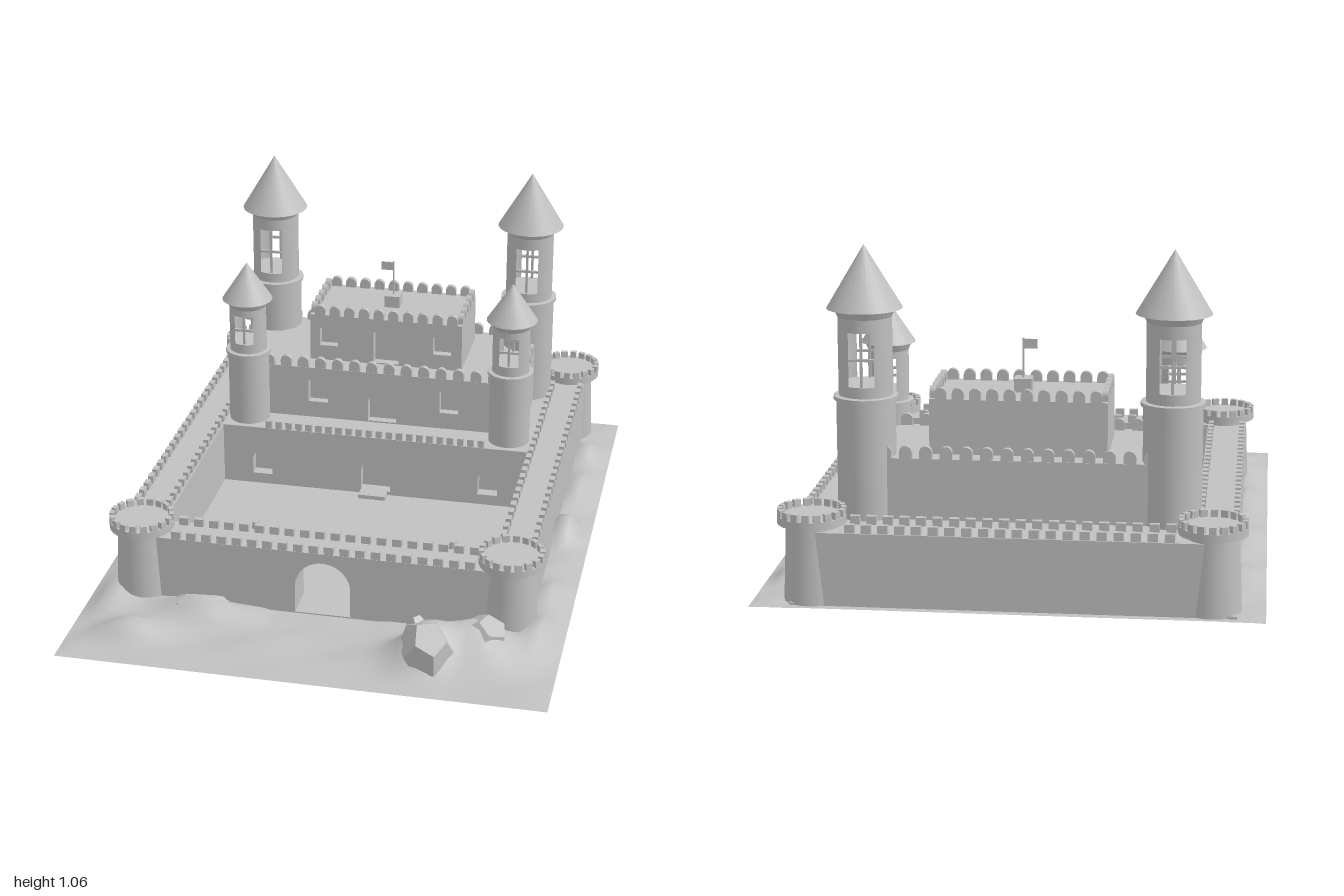
import * as THREE from 'three';
import { mergeGeometries } from 'three/addons/utils/BufferGeometryUtils.js';

export function createModel() {
  const stone = new THREE.MeshStandardMaterial({ color: 0xc0c0c0, side: THREE.DoubleSide });
  stone.name = 'stone';
  const castle = new THREE.Group();
  castle.name = 'castle';

  const add = (name, geo, parent = castle) => {
    const mesh = new THREE.Mesh(geo, stone);
    mesh.name = name;
    parent.add(mesh);
    return mesh;
  };
  // Box given by its minimum and maximum corners
  const box = (x0, x1, y0, y1, z0, z1) =>
    new THREE.BoxGeometry(x1 - x0, y1 - y0, z1 - z0)
      .translate((x0 + x1) / 2, (y0 + y1) / 2, (z0 + z1) / 2);

  // Rectangular or round-headed outline
  const outline = (C, x0, x1, y0, y1, arched) => {
    const p = new C();
    const r = (x1 - x0) / 2;
    p.moveTo(x0, y0);
    p.lineTo(x1, y0);
    if (arched) {
      p.lineTo(x1, y1 - r);
      p.absarc((x0 + x1) / 2, y1 - r, r, 0, Math.PI, false);
    } else {
      p.lineTo(x1, y1);
      p.lineTo(x0, y1);
    }
    p.closePath();
    return p;
  };
  // Front-facing wall with openings listed as [x0, x1, y0, y1, arched]
  const piercedWall = (x0, x1, y0, y1, zFront, depth, holes) => {
    const shape = outline(THREE.Shape, x0, x1, y0, y1, false);
    for (const h of holes) shape.holes.push(outline(THREE.Path, ...h));
    return new THREE.ExtrudeGeometry(shape, { depth, bevelEnabled: false, curveSegments: 10 })
      .translate(0, 0, zFront - depth);
  };

  // Evenly spaced merlons along a straight line
  const merlonRow = (name, x0, z0, x1, z1, y, o) => {
    const len = Math.hypot(x1 - x0, z1 - z0);
    const n = Math.max(2, Math.round(len / o.pitch));
    const parts = [];
    for (let i = 0; i < n; i++) {
      const t = (i + 0.5) / n;
      const g = o.round
        ? new THREE.ExtrudeGeometry(outline(THREE.Shape, -o.w / 2, o.w / 2, 0, o.h, true),
          { depth: o.t, bevelEnabled: false, curveSegments: 6 }).translate(0, 0, -o.t / 2)
        : box(-o.w / 2, o.w / 2, 0, o.h, -o.t / 2, o.t / 2);
      g.rotateY(Math.atan2(-(z1 - z0), x1 - x0));
      parts.push(g.translate(x0 + (x1 - x0) * t, y, z0 + (z1 - z0) * t));
    }
    add(name, mergeGeometries(parts));
  };
  const merlonRing = (name, x0, x1, z0, z1, y, o) => {
    merlonRow(name, x0, z0, x1, z0, y, o);
    merlonRow(name, x0, z1, x1, z1, y, o);
    merlonRow(name, x0, z0, x0, z1, y, o);
    merlonRow(name, x1, z0, x1, z1, y, o);
  };

  // Outer walls with the open gateway in front
  const top = 0.23;
  add('floor', box(-0.685, 0.65, 0.004, 0.012, -0.97, 0.605));
  add('frontWall', piercedWall(-0.62, 0.6, 0.01, top, 0.605, 0.12, [[-0.095, 0.085, 0.012, 0.197, true]]));
  add('backWall', box(-0.62, 0.6, 0.01, top, -0.97, -0.85));
  add('rightWall', box(-0.685, -0.555, 0.01, top, -0.9, 0.55));
  add('leftWall', box(0.53, 0.65, 0.01, top, -0.9, 0.55));
  const small = { pitch: 0.05, w: 0.03, h: 0.026, t: 0.018 };
  for (const z of [0.595, 0.5, -0.86, -0.957]) merlonRow('wallMerlons', -0.51, z, 0.49, z, top, small);
  for (const x of [-0.675, -0.568, 0.54, 0.641]) merlonRow('wallMerlons', x, -0.8, x, 0.46, top, small);

  // Round corner towers with crowns
  for (const x of [-0.61, 0.59]) for (const z of [-0.895, 0.555]) {
    const tower = new THREE.Group();
    tower.name = 'cornerTower';
    tower.position.set(x, 0, z);
    castle.add(tower);
    add('body', new THREE.CylinderGeometry(0.078, 0.088, 0.24, 24).translate(0, 0.125, 0), tower);
    add('crown', new THREE.CylinderGeometry(0.104, 0.104, 0.024, 24).translate(0, 0.255, 0), tower);
    const parts = [];
    for (let i = 0; i < 18; i++) {
      parts.push(box(-0.011, 0.011, 0.267, 0.289, 0.088, 0.103).rotateY(i * Math.PI / 9));
    }
    add('crownMerlons', mergeGeometries(parts), tower);
  }

  // Terrace with arched doorways, and a step at the middle one
  add('terraceFront', piercedWall(-0.556, 0.531, 0.01, top, -0.24, 0.04, [
    [-0.06, 0.045, 0.025, 0.148, true], [-0.45, -0.38, 0.05, 0.14, true], [0.355, 0.425, 0.05, 0.14, true]]));
  add('terrace', box(-0.556, 0.531, 0.01, top, -0.851, -0.28));
  add('doorStep', box(-0.06, 0.035, 0.01, 0.026, -0.24, -0.195));
  merlonRow('terraceMerlons', -0.41, -0.25, 0.38, -0.25, top,
    { pitch: 0.036, w: 0.022, h: 0.026, t: 0.016 });

  // Main keep
  add('keepFront', piercedWall(-0.52, 0.485, top, 0.42, -0.365, 0.03, [
    [-0.275, -0.205, 0.29, 0.37, false], [0.195, 0.262, 0.29, 0.37, false],
    [-0.06, 0.04, 0.235, 0.354, true]]));
  add('keep', box(-0.52, 0.485, top, 0.42, -0.8, -0.395));
  merlonRing('keepMerlons', -0.51, 0.475, -0.79, -0.375, 0.42,
    { pitch: 0.062, w: 0.038, h: 0.038, t: 0.018, round: true });

  // Upper keep
  add('upperKeepFront', piercedWall(-0.285, 0.257, 0.42, 0.59, -0.445, 0.03, [
    [-0.25, -0.185, 0.475, 0.54, false], [0.155, 0.22, 0.475, 0.54, false],
    [-0.057, 0.033, 0.425, 0.54, false]]));
  add('upperKeep', box(-0.285, 0.257, 0.42, 0.59, -0.735, -0.475));
  merlonRing('upperKeepMerlons', -0.276, 0.248, -0.726, -0.454, 0.59,
    { pitch: 0.054, w: 0.036, h: 0.035, t: 0.018, round: true });

  // Flag on its pedestal
  add('flagPedestal', box(-0.043, 0.012, 0.59, 0.632, -0.617, -0.562));
  add('flagPole', new THREE.CylinderGeometry(0.003, 0.003, 0.13, 8).translate(-0.015, 0.69, -0.59));
  add('flag', box(-0.058, -0.015, 0.722, 0.752, -0.592, -0.588));

  // Keep towers with see-through windows front and back
  const spire = (x, z, o) => {
    const tower = new THREE.Group();
    tower.name = 'spireTower';
    tower.position.set(x, 0, z);
    castle.add(tower);
    const lathe = pts => {
      const parts = [];
      for (let i = 0; i < pts.length - 1; i++) {
        parts.push(new THREE.LatheGeometry([pts[i], pts[i + 1]].map(p => new THREE.Vector2(...p)), 24));
      }
      return mergeGeometries(parts);
    };
    add('shaft', lathe([[o.r0, 0.2], [o.r0, o.ring - 0.008], [o.r0 + 0.008, o.ring - 0.006],
      [o.r0 + 0.008, o.ring + 0.006], [o.r, o.ring + 0.008], [o.r, o.w0], [0, o.w0]]), tower);
    const a = Math.asin(o.half / o.r);
    for (const s of [0, Math.PI]) {
      add('windowBand', new THREE.CylinderGeometry(o.r, o.r, o.w1 - o.w0, 12, 1, true, s + a, Math.PI - 2 * a)
        .translate(0, (o.w0 + o.w1) / 2, 0), tower);
    }
    add('head', lathe([[0, o.w1], [o.r, o.w1], [o.r, o.eave - 0.025], [o.r + 0.012, o.eave]]), tower);
    const zf = o.r * Math.cos(a);
    const ym = (o.w0 + o.w1) / 2;
    for (const s of [-1, 1]) {
      add('windowPost', box(-0.004, 0.004, o.w0, o.w1, s * zf - 0.004, s * zf + 0.004), tower);
      add('windowBar', box(-o.half, o.half, ym - 0.004, ym + 0.004, s * zf - 0.004, s * zf + 0.004), tower);
    }
    add('roof', new THREE.ConeGeometry(o.cone, o.apex - o.eave, 24)
      .translate(0, (o.eave + o.apex) / 2, 0), tower);
  };
  for (const x of [-0.481, 0.447]) {
    spire(x, -0.745, { r0: 0.09, r: 0.082, ring: 0.598, w0: 0.64, w1: 0.805, half: 0.039, eave: 0.87, apex: 1.062, cone: 0.115 });
    spire(x, -0.33, { r0: 0.071, r: 0.064, ring: 0.488, w0: 0.53, w1: 0.635, half: 0.033, eave: 0.682, apex: 0.814, cone: 0.087 });
  }

  // Courtyard posts on round plinths
  for (const x of [-0.343, 0.337]) {
    add('plinth', new THREE.CylinderGeometry(0.058, 0.058, 0.006, 10).translate(x, 0.014, 0.137));
    add('courtyardPost', new THREE.CylinderGeometry(0.012, 0.018, 0.05, 10).translate(x, 0.04, 0.137));
  }

  // Rolling ground: bumps as [x, z, height, spread x, spread z]
  const bumps = [
    [0.36, 0.79, 0.12, 0.09, 0.1], [0.52, 0.72, 0.1, 0.11, 0.1], [-0.4, 0.68, 0.075, 0.12, 0.06],
    [-0.58, 0.84, 0.05, 0.1, 0.07], [0.69, -0.08, 0.085, 0.05, 0.07], [0.69, -0.4, 0.055, 0.05, 0.1],
    [0.69, -0.68, 0.055, 0.05, 0.08], [0.7, 0.35, 0.04, 0.05, 0.12], [-0.71, -0.2, 0.05, 0.04, 0.12],
    [-0.71, 0.3, 0.05, 0.04, 0.15], [-0.71, -0.6, 0.04, 0.04, 0.1], [-0.7, 0.62, 0.045, 0.06, 0.1],
    [0.7, 0.62, 0.06, 0.06, 0.1]];
  const ground = new THREE.PlaneGeometry(1.54, 1.99, 44, 56).rotateX(-Math.PI / 2).translate(0, 0, 0.005);
  const p = ground.attributes.position;
  for (let i = 0; i < p.count; i++) {
    const x = p.getX(i), z = p.getZ(i);
    const inside = x > -0.65 && x < 0.61 && z < 0.56;
    const edge = Math.min(1, (0.77 - Math.abs(x)) / 0.08, (1 - Math.abs(z)) / 0.14);
    let y = 0.012 + 0.008 * Math.sin(x * 17 + z * 9) * Math.sin(z * 21);
    for (const [bx, bz, h, sx, sz] of bumps) y += h * Math.exp(-(((x - bx) / sx) ** 2) - ((z - bz) / sz) ** 2);
    if (Math.abs(x) < 0.2 && z < 0.75) y = Math.min(y, 0.008);
    p.setY(i, inside ? 0.002 : Math.max(0, y * edge));
  }
  ground.computeVertexNormals();
  add('ground', ground);

  // Faceted boulders by the front wall: [x, z, y, sx, sy, sz, turn]
  for (const [x, z, y, sx, sy, sz, turn] of [
    [0.37, 0.82, 0.06, 0.085, 0.095, 0.11, 0.4], [0.53, 0.71, 0.055, 0.08, 0.075, 0.08, 1.2],
    [0.31, 0.66, 0.03, 0.035, 0.05, 0.04, 0.8], [-0.39, 0.67, 0.025, 0.12, 0.055, 0.05, 0.1]]) {
    const rock = add('boulder', new THREE.DodecahedronGeometry(1, 0));
    rock.scale.set(sx, sy, sz);
    rock.rotation.y = turn;
    rock.position.set(x, Math.max(y, sy * 0.96), z);
    rock.position.y = y;
    // Keep the underside above the base plane
    const v = rock.geometry.attributes.position;
    for (let i = 0; i < v.count; i++) v.setY(i, Math.max(v.getY(i), -y / sy));
    rock.geometry.computeVertexNormals();
  }
  return castle;
}
